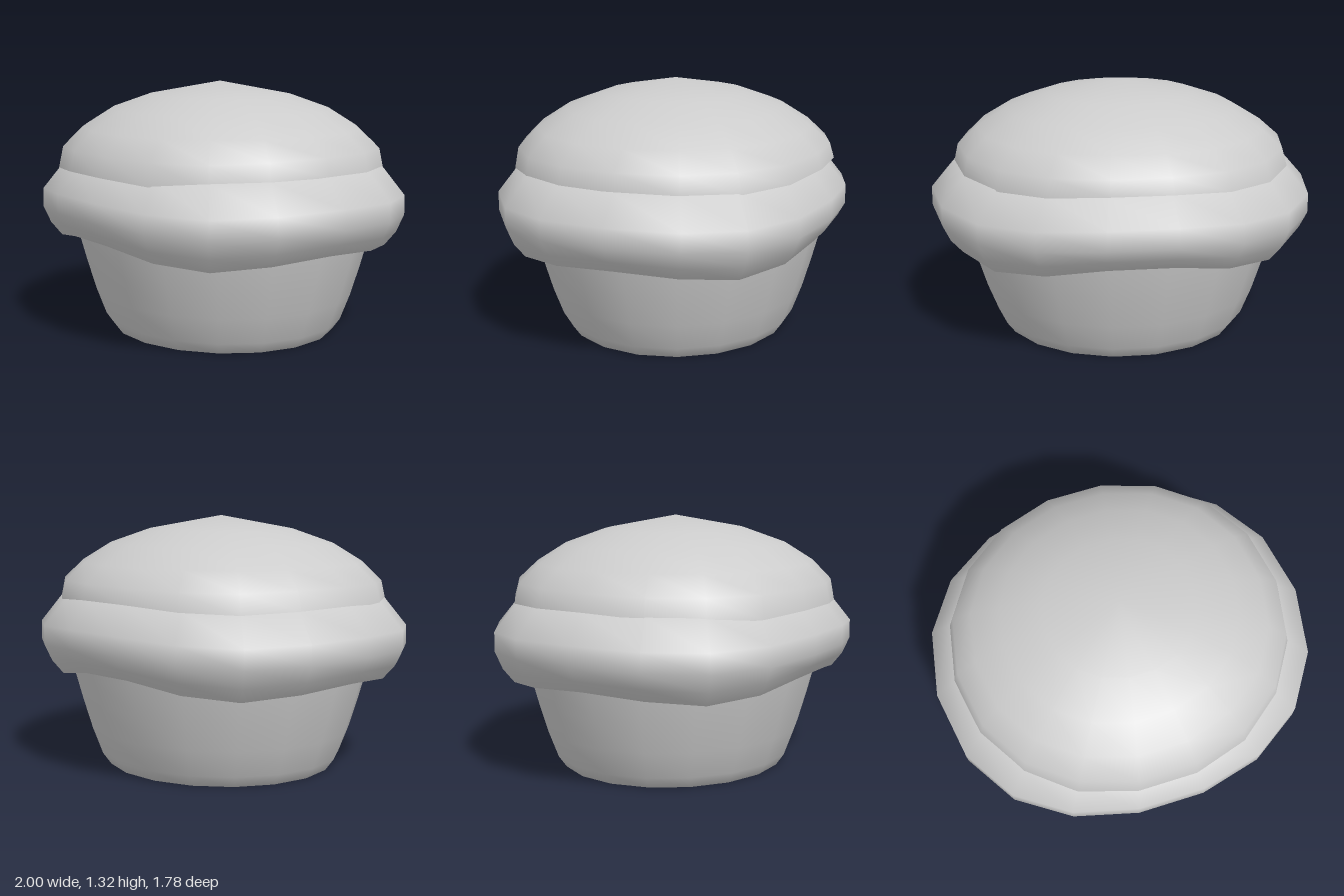
import * as THREE from 'three';
import { mergeVertices } from 'three/addons/utils/BufferGeometryUtils.js';

const SIDES = 18;

// Turned profile whose vertices are moved by rule(point, angle, profileIndex)
function turned(name, profile, rule) {
  const points = profile.map(([r, y]) => new THREE.Vector2(r, y));
  let geo = new THREE.LatheGeometry(points, SIDES, Math.PI / 2);
  const pos = geo.attributes.position;
  const p = new THREE.Vector3();
  for (let i = 0; i < pos.count; i++) {
    p.fromBufferAttribute(pos, i);
    rule(p, Math.atan2(p.z, p.x), i % profile.length);
    pos.setXYZ(i, p.x, p.y, p.z);
  }
  geo.deleteAttribute('uv');
  geo.deleteAttribute('normal');
  geo = mergeVertices(geo, 1e-4);
  geo.computeVertexNormals();
  const mesh = new THREE.Mesh(geo, new THREE.MeshStandardMaterial({
    color: 0xcccccc, side: THREE.DoubleSide,
  }));
  mesh.name = name;
  return mesh;
}

export function createModel() {
  const group = new THREE.Group();
  group.name = 'cupcake';

  // Tapered cup with a small bevel at the foot
  const cup = turned('cup', [
    [0, 0], [0.58, 0], [0.625, 0], [0.67, 0.06], [0.725, 0.2],
    [0.775, 0.36], [0.815, 0.5], [0.85, 0.66],
  ], (p) => { p.z = p.z * 0.93 - 0.017; });

  // Overhanging lower icing: its rim rises at front, back and sides and droops between
  const ringWave = [1, 0.8, 0.4, 0.4, 0.15, 0];
  const lowerIcing = turned('lowerIcing', [
    [0.9, 0.508], [0.96, 0.575], [1, 0.655], [1, 0.755], [0.88, 0.895], [0.7, 0.96],
  ], (p, a, i) => {
    p.z *= 1.1 - 0.2 * Math.abs(Math.sin(a));
    p.y += ringWave[i] * (0.03 * Math.cos(4 * a) - 0.015 * Math.cos(2 * a));
  });

  // Domed upper icing with a gently waving, slightly tilted lip
  const domeWave = [1, 0.3, 0, 0, 0, 0];
  const upperIcing = turned('upperIcing', [
    [0.88, 0.887], [0.857, 0.985], [0.755, 1.08], [0.6, 1.175], [0.385, 1.25], [0, 1.32],
  ], (p, a, i) => {
    p.z *= 1.05 - 0.1 * Math.abs(Math.sin(a));
    p.y += domeWave[i] * (0.015 * Math.cos(4 * a) - 0.02 * p.z);
    p.x -= domeWave[i] * 0.005;
  });

  group.add(cup, lowerIcing, upperIcing);
  return group;
}
